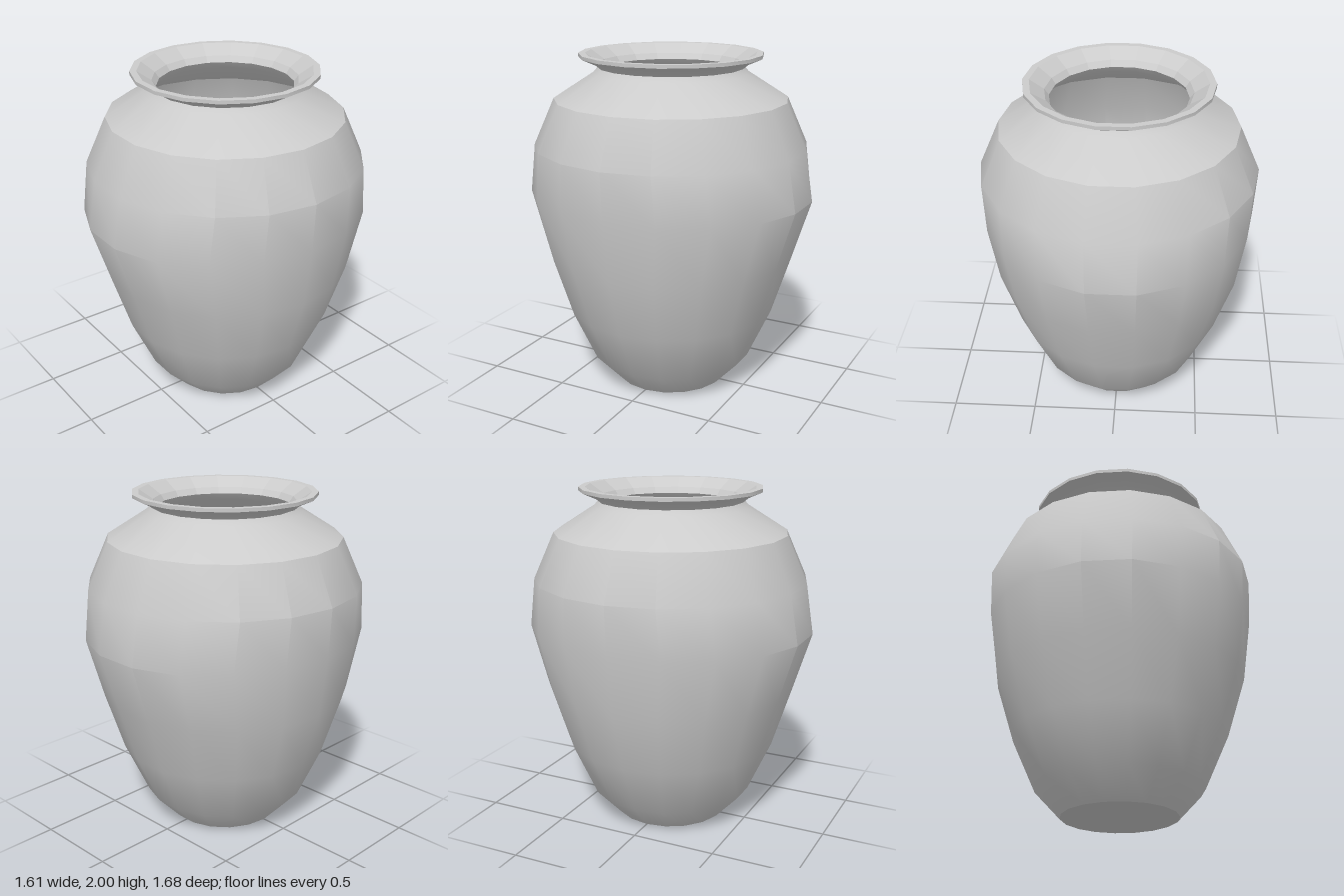
import * as THREE from 'three';
import { toCreasedNormals } from 'three/addons/utils/BufferGeometryUtils.js';

const SIDES = 18;
const BELLY_Y = 1.18;
const BELLY_STRETCH = 1.08;

// Revolve a [radius, height] profile; the belly ring is slightly wider front to back.
function turned(name, profile, creaseDegrees) {
  const points = profile.map(([r, y]) => new THREE.Vector2(r, y));
  const lathe = new THREE.LatheGeometry(points, SIDES, Math.PI / 2);
  const pos = lathe.attributes.position;
  for (let i = 0; i < pos.count; i++) {
    if (Math.abs(pos.getY(i) - BELLY_Y) < 0.01) pos.setZ(i, pos.getZ(i) * BELLY_STRETCH);
  }
  const geometry = toCreasedNormals(lathe, THREE.MathUtils.degToRad(creaseDegrees));
  const mesh = new THREE.Mesh(geometry, new THREE.MeshStandardMaterial({ color: 0xcccccc }));
  mesh.name = name;
  return mesh;
}

export function createModel() {
  const vase = new THREE.Group();
  vase.name = 'vase';

  // Flat base, swelling body and sloping shoulder
  vase.add(turned('body', [
    [0, 0], [0.34, 0], [0.49, 0.16], [0.63, 0.47], [0.74, 0.82],
    [0.79, BELLY_Y], [0.805, 1.47], [0.685, 1.74], [0.45, 1.89], [0.425, 1.92],
  ], 31));

  // Flared underside of the lip, its thin outer band and flat top
  vase.add(turned('lip', [
    [0.425, 1.92], [0.455, 1.945], [0.535, 1.98], [0.535, 2], [0.497, 2],
  ], 31));

  // Faceted funnel inside the mouth
  vase.add(turned('mouth', [[0.497, 2], [0.415, 1.945], [0.39, 1.91]], 1));

  // Hollow inside, down to the floor
  vase.add(turned('interior', [
    [0.39, 1.91], [0.42, 1.87], [0.655, 1.72], [0.77, 1.46], [0.76, BELLY_Y],
    [0.71, 0.83], [0.6, 0.49], [0.46, 0.18], [0.31, 0.03], [0, 0.03],
  ], 31));

  return vase;
}
